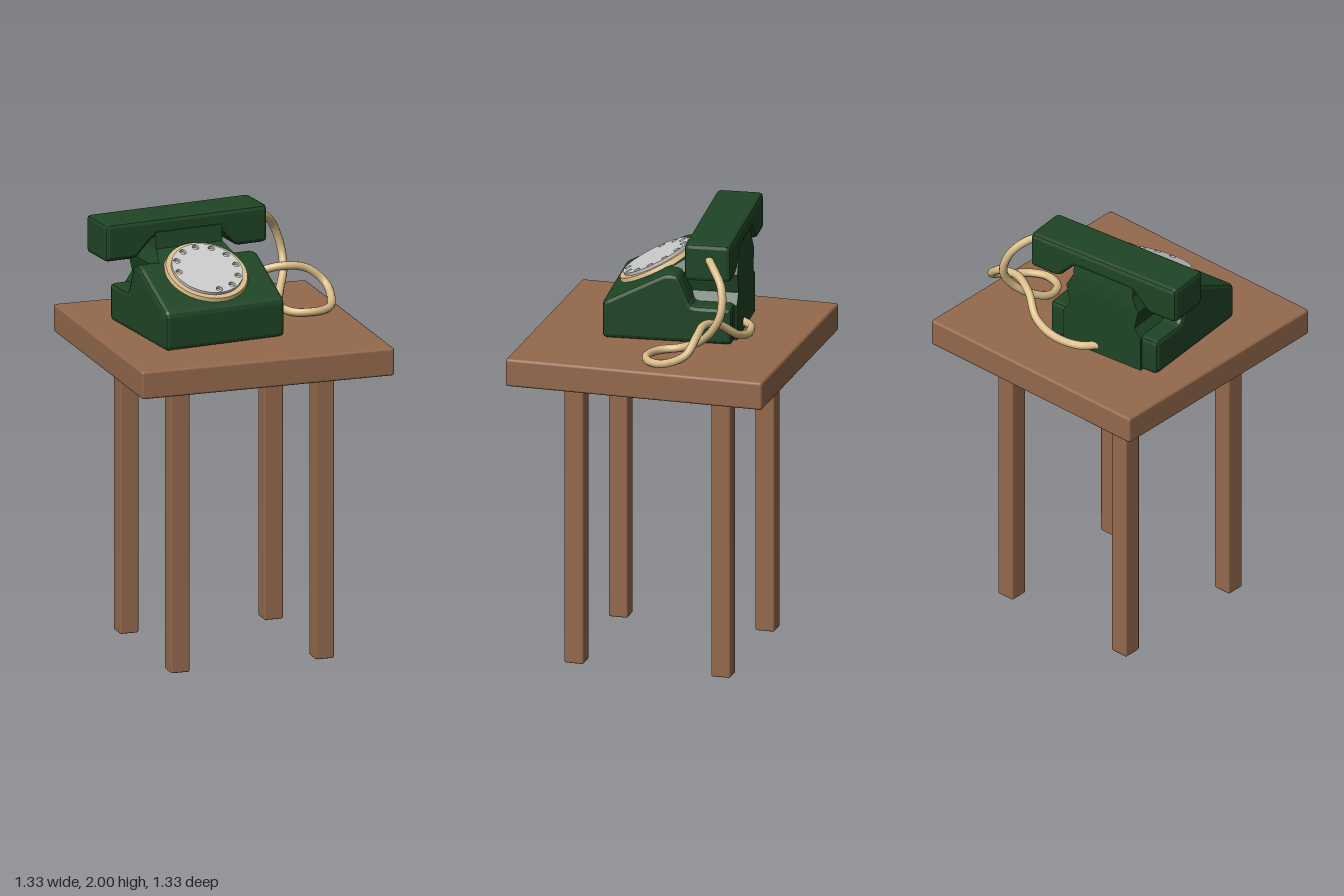
import * as THREE from 'three';
import { RoundedBoxGeometry } from 'three/addons/geometries/RoundedBoxGeometry.js';

const paint = (color) => new THREE.MeshStandardMaterial({ color });
const wood = paint(0x94694c);
const green = paint(0x1f4525);
const cream = paint(0xd9bd88);
const grey = paint(0xcccccc);

function add(parent, name, geometry, material, x = 0, y = 0, z = 0) {
  const mesh = new THREE.Mesh(geometry, material);
  mesh.name = name;
  mesh.position.set(x, y, z);
  parent.add(mesh);
  return mesh;
}

// Closed outline with softened corners
function softShape(points, r) {
  const pts = points.map(([x, y]) => new THREE.Vector2(x, y));
  const shape = new THREE.Shape();
  const n = pts.length;
  const toward = (p, q) => p.clone().add(q.clone().sub(p).setLength(Math.min(r, p.distanceTo(q) / 2.5)));
  pts.forEach((p, i) => {
    const a = toward(p, pts[(i + n - 1) % n]);
    const b = toward(p, pts[(i + 1) % n]);
    if (i === 0) shape.moveTo(a.x, a.y);
    else shape.lineTo(a.x, a.y);
    shape.quadraticCurveTo(p.x, p.y, b.x, b.y);
  });
  shape.closePath();
  return shape;
}

// Bevelled slab of the given overall width, centred on its depth
function slab(points, width, bevel) {
  const geometry = new THREE.ExtrudeGeometry(softShape(points, 0.02), {
    depth: width - 2 * bevel, bevelEnabled: true, bevelThickness: bevel,
    bevelSize: bevel, bevelOffset: -bevel, bevelSegments: 2, curveSegments: 2,
  });
  return geometry.translate(0, 0, bevel - width / 2);
}

// Column whose cross-section follows rows of [y, halfWidth, frontZ, backZ]
function column(rows) {
  const n = rows.length - 1;
  const geometry = new THREE.BoxGeometry(1, 1, 1, 1, n, 1);
  const p = geometry.attributes.position;
  for (let i = 0; i < p.count; i++) {
    const [y, half, front, back] = rows[Math.round((p.getY(i) + 0.5) * n)];
    p.setXYZ(i, Math.sign(p.getX(i)) * half, y, p.getZ(i) > 0 ? front : back);
  }
  const flat = geometry.toNonIndexed();
  flat.computeVertexNormals();
  return flat;
}

function createTable() {
  const table = new THREE.Group();
  table.name = 'table';
  table.rotation.y = -0.105;
  add(table, 'tableTop', new RoundedBoxGeometry(1.21, 0.13, 1.21, 1, 0.012), wood, 0, 1.427, 0);
  for (const x of [-1, 1]) {
    for (const z of [-1, 1]) {
      add(table, 'tableLeg', new RoundedBoxGeometry(0.09, 1.37, 0.09, 1, 0.008), wood, x * 0.346, 0.685, z * 0.346);
    }
  }
  return table;
}

function createDial() {
  const dial = new THREE.Group();
  dial.name = 'dial';
  dial.position.set(-0.13, 1.776, 0.085);
  dial.rotation.x = 0.477;
  add(dial, 'dialRing', new THREE.CylinderGeometry(0.188, 0.197, 0.03, 40), cream, 0, 0.003, 0);

  // Finger plate with ten holes and a gap at the lower left
  const plate = new THREE.Shape();
  plate.absarc(0, 0, 0.165, 0, Math.PI * 2);
  for (let i = 0; i < 12; i++) {
    if (i === 7 || i === 8) continue;
    const a = i * Math.PI / 6;
    const hole = new THREE.Path();
    hole.absarc(Math.cos(a) * 0.142, Math.sin(a) * 0.142, 0.015, 0, Math.PI * 2, true);
    plate.holes.push(hole);
  }
  const geometry = new THREE.ExtrudeGeometry(plate, { depth: 0.014, bevelEnabled: false, curveSegments: 20 });
  geometry.rotateX(-Math.PI / 2);
  add(dial, 'fingerPlate', geometry, grey, 0, 0.018, 0);
  return dial;
}

function createTelephone() {
  const phone = new THREE.Group();
  phone.name = 'telephone';

  // Wedge body: side profile as [z, y], with a low shelf at the back
  const body = slab([
    [0.29, 1.495], [0.29, 1.67], [0, 1.82], [-0.06, 1.815],
    [-0.12, 1.67], [-0.305, 1.67], [-0.305, 1.495],
  ], 0.595, 0.02);
  body.rotateY(-Math.PI / 2);
  add(phone, 'body', body, green, -0.13);

  // Cradle column behind the dial
  add(phone, 'cradle', column([
    [1.495, 0.215, 0, -0.315], [1.66, 0.215, 0, -0.315], [1.71, 0.18, 0, -0.315],
    [1.8, 0.2, 0.02, -0.315], [1.865, 0.165, -0.09, -0.31], [1.94, 0.165, -0.1, -0.3],
  ]), green, -0.13);

  // Handset: front outline as [x, y]
  add(phone, 'handset', slab([
    [-0.405, 1.825], [-0.25, 1.825], [-0.165, 1.915], [0.165, 1.915],
    [0.25, 1.825], [0.405, 1.825], [0.405, 2], [-0.405, 2],
  ], 0.213, 0.02), green, -0.135, 0, -0.213);

  phone.add(createDial());

  // Cord from the handset, looping over the table to the back of the body
  const path = new THREE.CatmullRomCurve3([
    [0.25, 1.93, -0.215], [0.32, 1.91, -0.25], [0.39, 1.84, -0.3], [0.43, 1.73, -0.305],
    [0.42, 1.64, -0.26], [0.37, 1.57, -0.19], [0.325, 1.525, -0.1], [0.345, 1.515, -0.005],
    [0.43, 1.515, 0.035], [0.52, 1.515, 0.005], [0.575, 1.53, -0.08], [0.59, 1.58, -0.175],
    [0.52, 1.645, -0.21], [0.41, 1.667, -0.225], [0.31, 1.64, -0.275], [0.22, 1.57, -0.34],
    [0.1, 1.535, -0.368], [-0.03, 1.53, -0.355], [-0.1, 1.53, -0.3],
  ].map((p) => new THREE.Vector3(...p)));
  add(phone, 'cord', new THREE.TubeGeometry(path, 120, 0.019, 10), cream);
  return phone;
}

export function createModel() {
  const model = new THREE.Group();
  model.name = 'telephoneOnTable';
  model.add(createTable(), createTelephone());
  return model;
}
